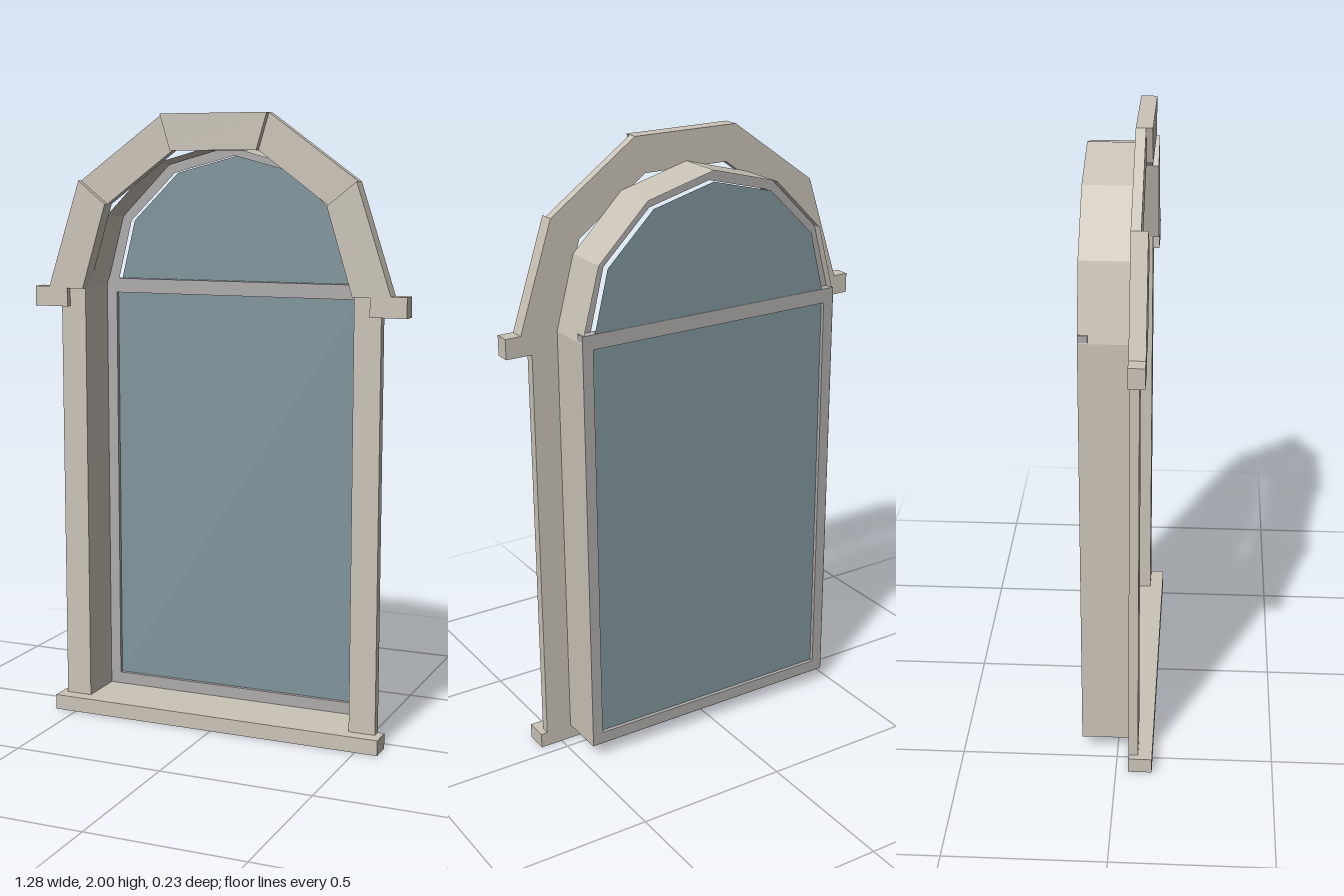
import * as THREE from 'three';

const stone = new THREE.MeshStandardMaterial({ color: 0xcac3b7, flatShading: true });
const stoneThin = new THREE.MeshStandardMaterial({ color: 0xcac3b7, flatShading: true, side: THREE.DoubleSide });
const frameMat = new THREE.MeshStandardMaterial({ color: 0xaeabab, flatShading: true, side: THREE.DoubleSide });
const glassMat = new THREE.MeshStandardMaterial({ color: 0x80959c, flatShading: true, side: THREE.DoubleSide });

const HALF = 0.465, SPRING = 1.44, SILL = 0.05;
const WALL_Z = 0.04, BACK_Z = -0.115;

export function createModel() {
  const root = new THREE.Group();

  const add = (name, geometry, material) => {
    const mesh = new THREE.Mesh(geometry, material);
    mesh.name = name;
    root.add(mesh);
    return mesh;
  };
  const box = (name, x0, x1, y0, y1, z0, z1, material) =>
    add(name, new THREE.BoxGeometry(x1 - x0, y1 - y0, z1 - z0), material)
      .position.set((x0 + x1) / 2, (y0 + y1) / 2, (z0 + z1) / 2);
  const toShape = (points) => new THREE.Shape(points.map(([x, y]) => new THREE.Vector2(x, y)));
  const slab = (name, points, z0, z1, material) => {
    const g = new THREE.ExtrudeGeometry(toShape(points), { depth: z1 - z0, bevelEnabled: false });
    add(name, g.translate(0, 0, z0), material);
  };
  // half circle in six straight steps, from +x over the top to -x
  const arc = (radius, y) => Array.from({ length: 7 }, (_, i) => {
    const a = (i * Math.PI) / 6;
    return [radius * Math.cos(a), y + radius * Math.sin(a)];
  });

  // sill
  box('sill', -0.575, 0.575, 0, SILL, WALL_Z, 0.115, stone);

  // surround: jambs, imposts and the arch stones, alternately proud and set back
  for (const s of [1, -1]) {
    const side = s > 0 ? 'left' : 'right';
    const span = (a, b) => (s > 0 ? [a, b] : [-b, -a]);
    const mirror = (pts) => (s > 0 ? pts : pts.map(([x, y]) => [-x, y]).reverse());
    box(side + 'Jamb', ...span(HALF, 0.553), SILL, SPRING, WALL_Z, 0.07, stone);
    box(side + 'Impost', ...span(0.522, 0.64), 1.38, 1.445, WALL_Z, 0.09, stone);
    slab(side + 'LowerArchStone',
      mirror([[HALF, SPRING], [0.59, SPRING], [0.475, 1.79], [0.38, 1.715]]), WALL_Z, 0.09, stone);
    slab(side + 'UpperArchStone',
      mirror([[0.38, 1.715], [0.475, 1.79], [0.182, 2], [0.147, 1.885]]), WALL_Z, 0.07, stone);
  }
  slab('keystone', [[-0.147, 1.885], [0.147, 1.885], [0.182, 2], [-0.182, 2]], WALL_Z, 0.09, stone);

  // reveal: thin lining running around the whole opening
  const outline = [[-HALF, SILL], [HALF, SILL], ...arc(HALF, SPRING)];
  const positions = [];
  outline.forEach(([x, y], i) => {
    const [u, v] = outline[(i + 1) % outline.length];
    positions.push(x, y, WALL_Z, x, y, BACK_Z, u, v, BACK_Z);
    positions.push(x, y, WALL_Z, u, v, BACK_Z, u, v, WALL_Z);
  });
  const reveal = new THREE.BufferGeometry();
  reveal.setAttribute('position', new THREE.Float32BufferAttribute(positions, 3));
  reveal.computeVertexNormals();
  add('reveal', reveal, stoneThin);

  // lower sash with a recessed pane
  const F0 = BACK_Z, F1 = -0.085;
  box('leftStile', 0.428, HALF - 0.001, SILL + 0.001, SPRING, F0, F1, frameMat);
  box('rightStile', -HALF + 0.001, -0.428, SILL + 0.001, SPRING, F0, F1, frameMat);
  box('bottomRail', -0.428, 0.428, SILL + 0.001, 0.09, F0, F1, frameMat);
  box('transom', -HALF + 0.001, HALF - 0.001, 1.418, 1.465, F0, F1, frameMat);
  box('lowerPane', -0.43, 0.43, 0.088, 1.42, -0.102, -0.098, glassMat);

  // arched sash: flat rim with the pane set behind it
  const inner = [[0.42, 1.465], [0.372, 1.658], [0.212, 1.815], [0, 1.87],
    [-0.212, 1.815], [-0.372, 1.658], [-0.42, 1.465]];
  const rim = toShape(arc(HALF - 0.001, SPRING));
  rim.holes.push(new THREE.Path(inner.map(([x, y]) => new THREE.Vector2(x, y))));
  add('archRim', new THREE.ShapeGeometry(rim).translate(0, 0, -0.088), frameMat);
  add('archPane', new THREE.ShapeGeometry(toShape(inner)).translate(0, 0, -0.113), glassMat);

  return root;
}
